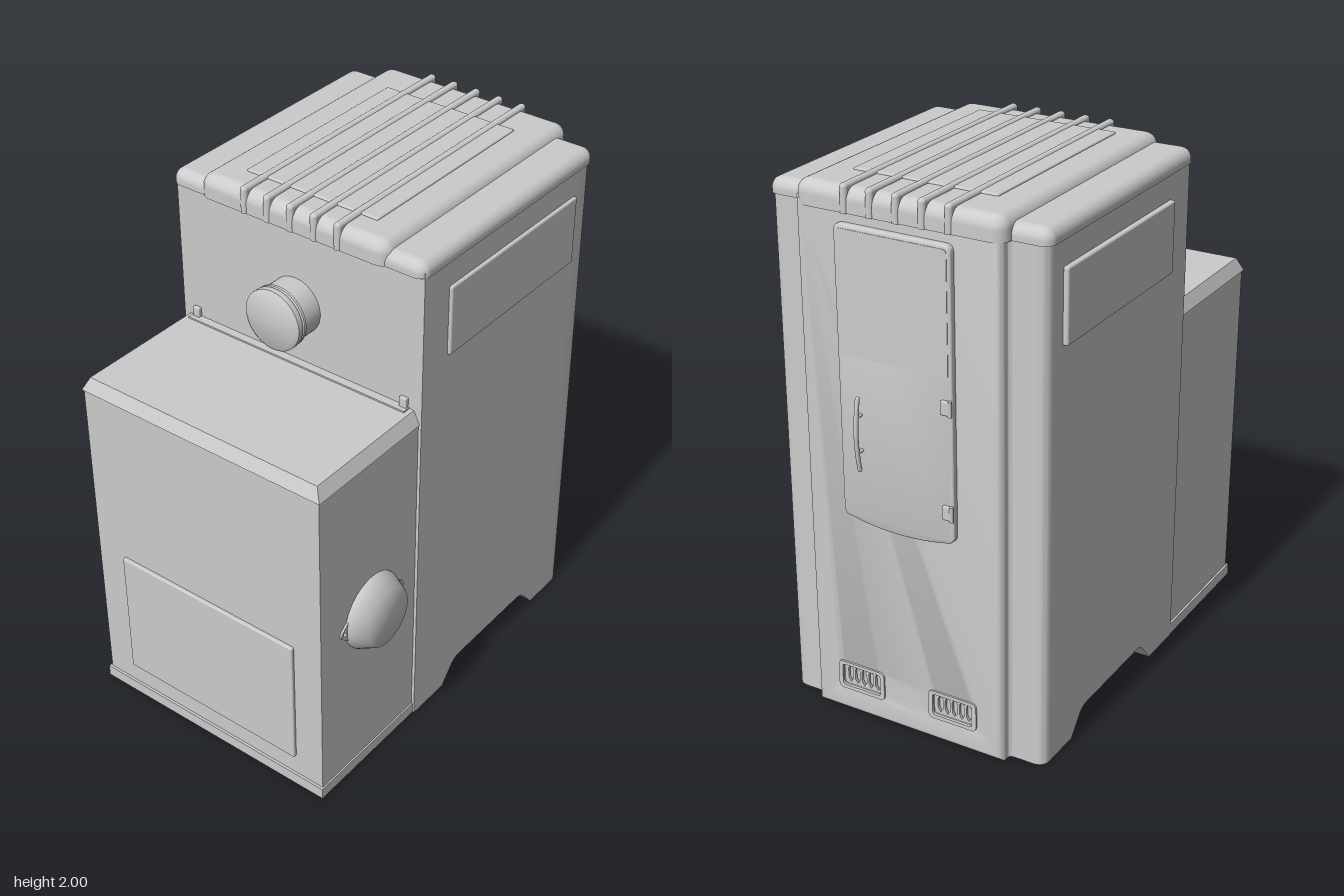
import * as THREE from 'three';
import { toCreasedNormals } from 'three/addons/utils/BufferGeometryUtils.js';
import { RoundedBoxGeometry } from 'three/addons/geometries/RoundedBoxGeometry.js';

const mat = new THREE.MeshStandardMaterial({ color: 0xcccccc });

function add(parent, name, geo, x = 0, y = 0, z = 0) {
  const m = new THREE.Mesh(geo, mat);
  m.name = name;
  m.position.set(x, y, z);
  parent.add(m);
  return m;
}

// Box given by its limits
function box(parent, name, x0, x1, y0, y1, z0, z1, r = 0) {
  const s = [x1 - x0, y1 - y0, z1 - z0];
  const geo = r ? new RoundedBoxGeometry(...s, 3, r) : new THREE.BoxGeometry(...s);
  return add(parent, name, geo, (x0 + x1) / 2, (y0 + y1) / 2, (z0 + z1) / 2);
}

// Rounded on top, flat underneath
function cap(parent, name, x0, x1, y0, y1, z0, z1, r) {
  const geo = new RoundedBoxGeometry(x1 - x0, 2 * (y1 - y0), z1 - z0, 4, r);
  const p = geo.attributes.position;
  for (let i = 0; i < p.count; i++) p.setY(i, Math.max(0, p.getY(i)));
  return add(parent, name, geo, (x0 + x1) / 2, y0, (z0 + z1) / 2);
}

function extrude(shape, depth, bevel = 0) {
  const geo = new THREE.ExtrudeGeometry(shape, {
    depth: depth - bevel, curveSegments: 8, bevelEnabled: bevel > 0,
    bevelSize: bevel, bevelThickness: bevel, bevelOffset: -bevel, bevelSegments: 4,
  });
  return toCreasedNormals(geo, 0.6);
}

// Extrusion on the door side: shape x runs along -z, depth runs along +x
function sidePlate(parent, name, shape, x0, x1, bevel = 0) {
  const m = add(parent, name, extrude(shape, x1 - x0, bevel), x0);
  m.rotation.y = Math.PI / 2;
  return m;
}

function roundRect(u0, u1, v0, v1, r, Type = THREE.Shape) {
  const s = new Type();
  s.moveTo(u0 + r, v0);
  s.lineTo(u1 - r, v0).quadraticCurveTo(u1, v0, u1, v0 + r);
  s.lineTo(u1, v1 - r).quadraticCurveTo(u1, v1, u1 - r, v1);
  s.lineTo(u0 + r, v1).quadraticCurveTo(u0, v1, u0, v1 - r);
  s.lineTo(u0, v0 + r).quadraticCurveTo(u0, v0, u0 + r, v0);
  return s;
}

function buildCabinet(g) {
  // Main cabinet with an arch cut through its base
  const front = new THREE.Shape();
  front.moveTo(-0.283, 0).lineTo(-0.1, 0).lineTo(-0.04, 0.07);
  front.quadraticCurveTo(-0.02, 0.09, 0.01, 0.09).lineTo(0.4, 0.09);
  front.quadraticCurveTo(0.43, 0.09, 0.45, 0.07).lineTo(0.51, 0);
  front.lineTo(0.6, 0).lineTo(0.6, 1.92).lineTo(-0.283, 1.92).closePath();
  add(g, 'cabinet', extrude(front, 1.045), 0, 0, -0.545);

  // Rounded corner pillars, in plan (shape y is -z)
  const plan = new THREE.Shape();
  plan.moveTo(0.6, -0.5).lineTo(0.665, -0.5).quadraticCurveTo(0.71, -0.5, 0.71, -0.455);
  plan.lineTo(0.71, -0.39).quadraticCurveTo(0.71, -0.365, 0.725, -0.365);
  plan.lineTo(0.725, 0.41).quadraticCurveTo(0.71, 0.41, 0.71, 0.435);
  plan.lineTo(0.71, 0.5).quadraticCurveTo(0.71, 0.545, 0.665, 0.545);
  plan.lineTo(0.6, 0.545).closePath();
  add(g, 'cornerPillars', extrude(plan, 1.92)).rotation.x = -Math.PI / 2;

  // Raised centre face with two vent openings
  const face = new THREE.Shape();
  face.moveTo(-0.365, 0).lineTo(0.41, 0).lineTo(0.41, 1.93).lineTo(-0.365, 1.93).closePath();
  const vents = [-0.17, 0.21];
  for (const u of vents)
    face.holes.push(roundRect(u - 0.08, u + 0.08, 0.108, 0.187, 0.012, THREE.Path));
  sidePlate(g, 'centreFace', face, 0.715, 0.76, 0.022);

  for (const u of vents) {
    const frame = roundRect(u - 0.097, u + 0.097, 0.093, 0.205, 0.02);
    frame.holes.push(roundRect(u - 0.08, u + 0.08, 0.108, 0.192, 0.012, THREE.Path));
    sidePlate(g, 'ventFrame', frame, 0.755, 0.766);
    const grille = roundRect(u - 0.095, u + 0.095, 0.095, 0.2, 0.01);
    for (let i = -2; i <= 2; i++) {
      const c = u + i * 0.029, slot = new THREE.Path();
      slot.moveTo(c, 0.114).lineTo(c + 0.01, 0.13).lineTo(c + 0.01, 0.168);
      slot.lineTo(c, 0.184).lineTo(c - 0.01, 0.168).lineTo(c - 0.01, 0.13).closePath();
      grille.holes.push(slot);
    }
    sidePlate(g, 'ventGrille', grille, 0.737, 0.748);
  }

  // Blank panels on both broad sides
  box(g, 'frontPanel', -0.145, 0.61, 1.54, 1.805, 0.49, 0.512, 0.008);
  box(g, 'backPanel', -0.145, 0.61, 1.54, 1.805, -0.563, -0.535, 0.008);
}

function buildRoof(g) {
  cap(g, 'roofEdge', -0.3, 0.716, 1.9, 1.955, -0.556, 0.506, 0.04);
  cap(g, 'roofCentre', -0.312, 0.764, 1.9, 1.985, -0.42, 0.368, 0.045);
  cap(g, 'roofPanel', -0.2, 0.59, 1.98, 1.992, -0.3, 0.25, 0.006);
  for (let i = 0; i < 5; i++) {
    const z = -0.222 + i * 0.098;
    cap(g, 'roofRib', -0.318, 0.77, 1.9, 1.999, z - 0.014, z + 0.014, 0.013);
  }
}

function buildDoor(g) {
  const door = new THREE.Shape();
  door.moveTo(-0.2, 0.85).quadraticCurveTo(-0.2, 0.825, -0.175, 0.82);
  door.quadraticCurveTo(0.02, 0.777, 0.215, 0.82).quadraticCurveTo(0.24, 0.825, 0.24, 0.85);
  door.lineTo(0.24, 1.845).quadraticCurveTo(0.24, 1.87, 0.215, 1.87);
  door.lineTo(-0.175, 1.87).quadraticCurveTo(-0.2, 1.87, -0.2, 1.845).closePath();
  sidePlate(g, 'door', door, 0.75, 0.785, 0.008);
  sidePlate(g, 'doorWindow', roundRect(-0.188, 0.228, 1.42, 1.857, 0.015), 0.78, 0.787);

  for (const y of [0.94, 1.32]) {
    box(g, 'hinge', 0.775, 0.798, y - 0.025, y + 0.025, -0.236, -0.202, 0.004);
    const pin = new THREE.CylinderGeometry(0.007, 0.007, 0.055, 12);
    add(g, 'hingePin', pin, 0.793, y, -0.237);
  }

  // Bowed handle on two posts
  const bow = new THREE.CatmullRomCurve3([
    [0.803, 1.02], [0.812, 1.07], [0.818, 1.15], [0.812, 1.23], [0.803, 1.28],
  ].map(([x, y]) => new THREE.Vector3(x, y, 0.115)));
  add(g, 'handle', new THREE.TubeGeometry(bow, 20, 0.008, 10));
  for (const y of [1.02, 1.28]) add(g, 'handleEnd', new THREE.SphereGeometry(0.008, 10, 8), 0.803, y, 0.115);
  for (const y of [1.085, 1.215]) {
    const post = add(g, 'handlePost', new THREE.CylinderGeometry(0.006, 0.006, 0.035, 10), 0.797, y, 0.115);
    post.rotation.z = Math.PI / 2;
  }
}

function buildHopper(g) {
  box(g, 'hopperBody', -0.815, -0.283, 0.02, 1.335, -0.535, 0.488);
  box(g, 'hopperBase', -0.825, -0.283, 0, 0.045, -0.543, 0.494);
  // Lid with chamfered edges on three sides
  const lid = new THREE.BoxGeometry(0.536, 0.05, 1.035);
  const p = lid.attributes.position;
  for (let i = 0; i < p.count; i++) if (p.getY(i) > 0) {
    if (p.getX(i) < 0) p.setX(i, p.getX(i) + 0.022);
    p.setZ(i, p.getZ(i) - Math.sign(p.getZ(i)) * 0.025);
  }
  lid.computeVertexNormals();
  add(g, 'hopperLid', lid, -0.551, 1.353, -0.0245);
  box(g, 'lidHingeStrip', -0.315, -0.28, 1.37, 1.384, -0.5, 0.45);
  for (const z of [-0.48, 0.43]) box(g, 'lidHinge', -0.298, -0.28, 1.38, 1.42, z - 0.015, z + 0.015, 0.004);
  box(g, 'hopperPanel', -0.829, -0.81, 0.13, 0.65, -0.41, 0.37, 0.006);

  // Round cover with two bolted ears
  const dome = [[0.146, 0], [0.146, 0.008], [0.113, 0.072], [0, 0.074]].map(([r, h]) => new THREE.Vector2(r, h));
  add(g, 'roundCover', new THREE.LatheGeometry(dome, 40), -0.535, 0.69, 0.488).rotation.x = Math.PI / 2;
  for (const s of [-1, 1]) {
    const ear = new THREE.Shape();
    ear.moveTo(s * 0.1, -0.07).lineTo(s * 0.165, -0.02);
    ear.quadraticCurveTo(s * 0.19, 0, s * 0.165, 0.02).lineTo(s * 0.1, 0.07).closePath();
    ear.holes.push(new THREE.Path().absarc(s * 0.159, 0, 0.008, 0, Math.PI * 2));
    add(g, 'coverEar', extrude(ear, 0.01), -0.535, 0.69, 0.486);
  }
}

// Short capped flue on the hopper side
function buildFlue(g) {
  const pts = [[0.106, 0], [0.106, 0.085], [0.114, 0.087], [0.114, 0.097], [0.108, 0.101],
    [0.115, 0.107], [0.115, 0.128], [0.1, 0.138], [0, 0.138]].map(([r, h]) => new THREE.Vector2(r, h));
  const geo = toCreasedNormals(new THREE.LatheGeometry(pts, 40), 0.6);
  add(g, 'flue', geo, -0.28, 1.6, -0.03).rotation.z = Math.PI / 2;
}

export function createModel() {
  const model = new THREE.Group();
  model.name = 'pelletBoiler';
  const parts = { cabinetGroup: buildCabinet, roof: buildRoof, doorGroup: buildDoor, hopper: buildHopper, flueGroup: buildFlue };
  for (const [name, build] of Object.entries(parts)) {
    const g = new THREE.Group();
    g.name = name;
    build(g);
    model.add(g);
  }
  return model;
}
